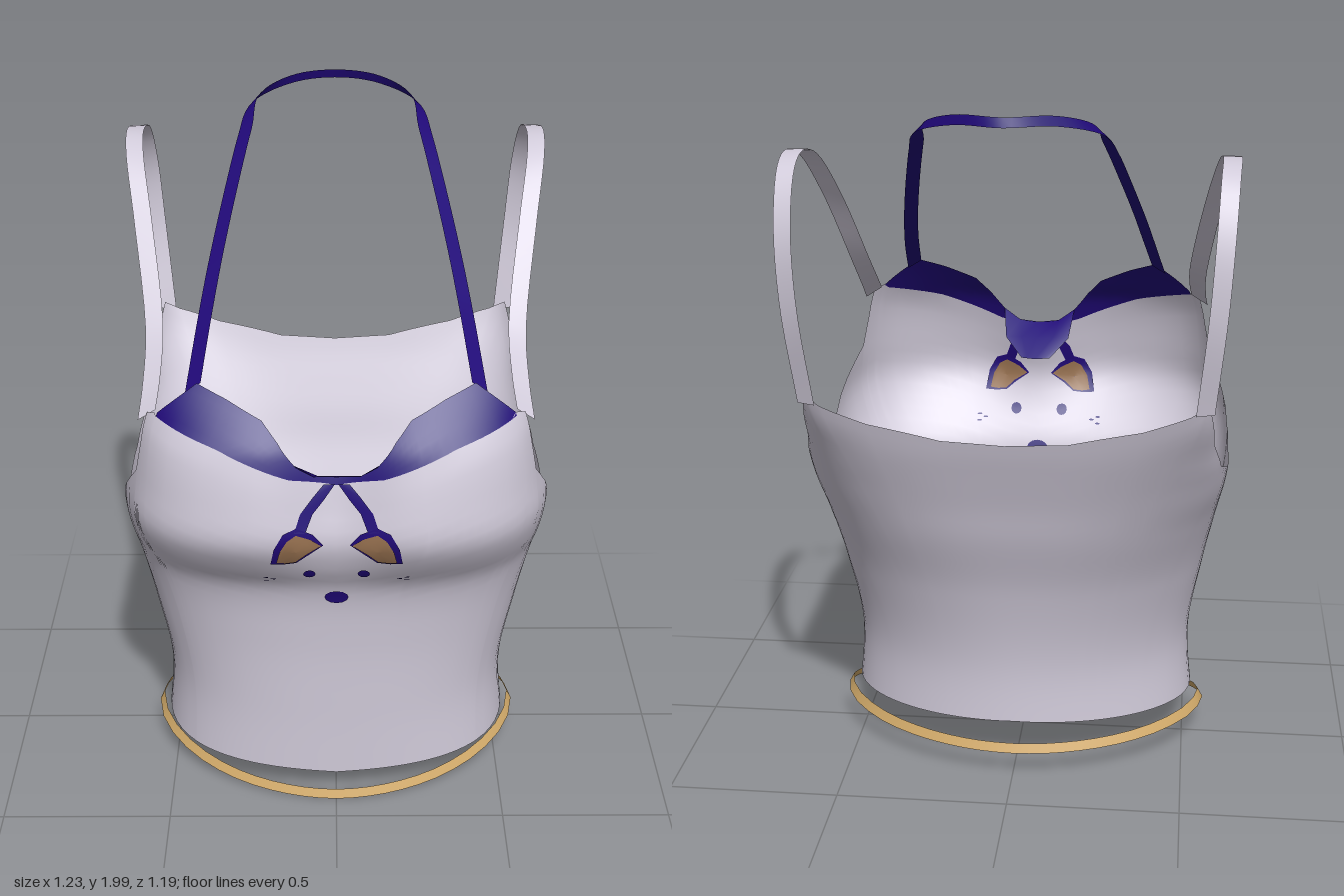
import * as THREE from 'three';

const { lerp, clamp, smoothstep } = THREE.MathUtils;
const mat = (name, color) => {
  const m = new THREE.MeshStandardMaterial({ color, side: THREE.DoubleSide });
  m.name = name;
  return m;
};
const V = (x, y, z) => new THREE.Vector3(x, y, z);

// Body sections: height, half width, front z, back z, front squareness, back squareness
const SECTIONS = [
  [0.08, 0.53, 0.417, -0.30, 2.5, 1.9],
  [0.35, 0.51, 0.425, -0.30, 2.5, 2.0],
  [0.60, 0.55, 0.44, -0.35, 2.6, 2.3],
  [0.80, 0.59, 0.475, -0.42, 2.8, 2.8],
  [0.90, 0.61, 0.545, -0.45, 2.9, 3.3],
  [1.00, 0.615, 0.60, -0.485, 3.0, 4.0],
  [1.10, 0.60, 0.592, -0.52, 3.1, 5.5],
  [1.25, 0.58, 0.55, -0.56, 3.4, 10],
  [1.32, 0.58, 0.50, -0.56, 3.5, 10],
  [1.43, 0.57, 0.415, -0.56, 3.6, 10],
];
const ZC = 0.05;

// Smooth interpolation of the sections
function section(y) {
  const S = SECTIONS, last = S.length - 1;
  let i = 0;
  while (i < last - 1 && y > S[i + 1][0]) i++;
  const h = S[i + 1][0] - S[i][0];
  const t = clamp((y - S[i][0]) / h, 0, 1), t2 = t * t, t3 = t2 * t;
  const slope = (k, c) => {
    const a = S[Math.max(k - 1, 0)], b = S[Math.min(k + 1, last)];
    return (b[c] - a[c]) / (b[0] - a[0]);
  };
  return [1, 2, 3, 4, 5].map((c) =>
    (2 * t3 - 3 * t2 + 1) * S[i][c] + (t3 - 2 * t2 + t) * h * slope(i, c)
    + (3 * t2 - 2 * t3) * S[i + 1][c] + (t3 - t2) * h * slope(i + 1, c));
}

// Hollow between the two cups
const hollow = (x, y) => 0.055 * Math.exp(-((x / 0.14) ** 2)) * smoothstep(y, 0.8, 1.1);

// Point on the body at angle a (0 = front, PI / 2 = +x) and height y
function bodyPoint(a, y) {
  const [w, zf, zb, nf, nb] = section(y);
  const s = Math.sin(a), c = Math.cos(a);
  const n = c > 0 ? nf : nb, d = c > 0 ? zf - ZC : ZC - zb;
  const r = (Math.abs(s / w) ** n + Math.abs(c / d) ** n) ** (-1 / n);
  return V(r * s, y, ZC + r * c - (c > 0 ? hollow(r * s, y) : 0));
}
function frontPoint(x, y, lift) {
  const [w, zf, , n] = section(y);
  return V(x, y, ZC + (zf - ZC) * (1 - Math.abs(x / w) ** n) ** (1 / n) - hollow(x, y) + lift);
}

// Linear lookup in [key, value] pairs
function lookup(table, k) {
  let i = 0;
  while (i < table.length - 2 && k > table[i + 1][0]) i++;
  const [k0, v0] = table[i], [k1, v1] = table[i + 1];
  return lerp(v0, v1, clamp((k - k0) / (k1 - k0), 0, 1));
}
// Neckline, armholes and back edge: [angle, height]
const EDGE = [[0, 1.185], [0.12, 1.19], [0.21, 1.22], [0.32, 1.285], [0.43, 1.335], [0.64, 1.38],
  [0.81, 1.41], [0.93, 1.325], [0.99, 1.315], [1.01, 1.22], [1.04, 1.13], [1.33, 0.96],
  [1.57, 0.928], [1.86, 0.94], [2.1, 1.0], [2.25, 1.1], [2.38, 1.25], [2.44, 1.22],
  [2.58, 1.175], [2.85, 1.13], [Math.PI, 1.12]];
const TRIM_LOW = [[0, 1.163], [0.24, 1.19], [0.6, 1.27], [0.93, 1.315]];
const HEM = [[0, 0.11], [1.57, 0.155], [Math.PI, 0.17]];

// Indexed surface through rows of points
function sheet(rows, closed = false) {
  const m = rows[0].length, idx = [];
  for (let i = 0; i < rows.length - 1; i++)
    for (let j = 0; j < (closed ? m : m - 1); j++) {
      const k = (j + 1) % m, a = i * m + j, b = i * m + k;
      idx.push(a, b, b + m, a, b + m, a + m);
    }
  const g = new THREE.BufferGeometry().setFromPoints(rows.flat());
  g.setIndex(idx);
  g.computeVertexNormals();
  return g;
}

// Flat ribbon along a smooth path; half(t) gives the half-width vector
function ribbon(points, half, n) {
  const path = new THREE.CatmullRomCurve3(points).getPoints(n);
  return sheet([-1, 1].map((k) => path.map((p, i) => p.clone().addScaledVector(half(i / n), k))));
}

// Concentric rings filling an outline, for printed patches
function rings(outline) {
  const [cx, cy] = [0, 1].map((k) => outline.reduce((sum, p) => sum + p[k], 0) / outline.length);
  return [0.01, 0.35, 0.7, 1].map((f) => outline.map(([x, y]) => [lerp(cx, x, f), lerp(cy, y, f)]));
}
const oval = (cx, cy, rx, ry) => rings(Array.from({ length: 12 }, (_, i) => {
  const a = i * Math.PI / 6;
  return [cx + rx * Math.cos(a), cy + ry * Math.sin(a)];
}));

export function createModel() {
  const model = new THREE.Group();
  const fabric = mat('pale lilac fabric', 0xd2ccdb);
  const navy = mat('indigo trim', 0x200878);
  const brown = mat('brown print', 0x96704f);
  const gold = mat('gold band', 0xd3ab6a);
  const add = (name, geometry, material) => {
    const mesh = new THREE.Mesh(geometry, material);
    mesh.name = name;
    model.add(mesh);
  };
  // Print showing on both the outside and the inside of the cloth
  const print = (name, rows, material, lift = 0.004, closed = true) => {
    for (const k of [1, -1])
      add(name + (k > 0 ? 'Outside' : 'Inside'),
        sheet(rows.map((r) => r.map(([x, y]) => frontPoint(x, y, k * lift))), closed), material);
  };

  // Angles denser where the edge turns
  const half = EDGE.slice(0, -1).flatMap(([a], i) =>
    [0, 0.25, 0.5, 0.75].map((k) => lerp(a, EDGE[i + 1][0], k)));
  const angles = [...half, Math.PI, ...half.slice(1).reverse().map((a) => 2 * Math.PI - a)];

  // Bodice
  const top = (a) => (a < 0.93 ? lookup(TRIM_LOW, a) : lookup(EDGE, a));
  const rows = Array.from({ length: 33 }, (_, i) => angles.map((a) => {
    const f = Math.min(a, 2 * Math.PI - a);
    return bodyPoint(a, lerp(lookup(HEM, f), top(f), i / 32));
  }));
  add('bodice', sheet(rows, true), fabric);

  // Neckline trim
  const trimHalf = half.filter((a) => a <= 0.935);
  const trimAngles = [...trimHalf.slice(1).reverse().map((a) => -a), ...trimHalf];
  const trimRows = Array.from({ length: 6 }, (_, i) => trimAngles.map((a) => {
    const f = Math.abs(a);
    return bodyPoint(a, lerp(lookup(TRIM_LOW, f), lookup(EDGE, f), i / 5));
  }));
  add('necklineTrim', sheet(trimRows), navy);

  // Flap folded back between the cups
  const front = [-0.22, -0.12, 0, 0.12, 0.22].map((a) => bodyPoint(a, lookup(EDGE, Math.abs(a))));
  const middle = [-0.1, -0.05, 0, 0.05, 0.1].map((x) => V(x, 1.15, 0.45));
  const back = [-0.045, -0.025, 0, 0.025, 0.045].map((x) => V(x, 1.1, 0.375 + Math.abs(x) * 0.3));
  add('centreFlap', sheet([front, middle, back]), navy);

  // Shoulder straps
  for (const s of [1, -1]) {
    const pts = [[0.515, 1.305, 0.385], [0.508, 1.36, 0.29], [0.507, 1.46, 0.15], [0.545, 1.7, -0.05],
      [0.575, 1.84, -0.2], [0.585, 1.875, -0.33], [0.58, 1.84, -0.47], [0.572, 1.7, -0.565],
      [0.56, 1.5, -0.583], [0.535, 1.225, -0.535]].map(([x, y, z]) => V(s * x, y, z));
    const side = (t) => V(s * 0.025, -0.016 * Math.max(0, 1 - 2 * t), 0.01 * smoothstep(t, 0.5, 0.8));
    add(s > 0 ? 'leftStrap' : 'rightStrap', ribbon(pts, side, 40), fabric);
  }

  // Halter neck strap
  const neck = [[0.385, 1.395, 0.40], [0.36, 1.52, 0.2], [0.335, 1.63, 0.05], [0.30, 1.76, -0.12],
    [0.262, 1.885, -0.28], [0.235, 1.95, -0.39], [0.13, 1.984, -0.48]];
  const loop = [...neck.map(([x, y, z]) => V(x, y, z)), V(0, 1.986, -0.535),
    ...neck.slice().reverse().map(([x, y, z]) => V(-x, y, z))];
  const twist = (t) => {
    const k = smoothstep(Math.abs(2 * t - 1), 0.1, 0.45);
    return V(Math.sign(t - 0.5) * -0.021 * k, -0.013, -0.004 * (1 - k));
  };
  add('halterStrap', ribbon(loop, twist, 80), navy);

  // Band hanging below the hem, flaring a little downwards
  const BAND = [[-0.33, 0.10], [-0.15, 0.117], [0.02, 0.127], [0.2, 0.085], [0.35, 0.04], [0.42, 0.022]];
  const bandRow = (k) => Array.from({ length: 48 }, (_, i) => {
    const a = i * Math.PI / 24, s = Math.sin(a), c = Math.cos(a);
    const r = (Math.abs(s / 0.555) ** 1.85 + Math.abs(c / 0.375) ** 1.85) ** (-1 / 1.85);
    const z = 0.04 + r * c, grow = 1 - k * 0.014;
    return V(r * s * grow, lookup(BAND, z) + k * 0.014, 0.04 + r * c * grow);
  });
  add('hemBand', sheet([bandRow(-1), bandRow(1)], true), gold);

  // Printed face: stems, ears, eyes, whiskers and nose
  for (const s of [1, -1]) {
    const flip = (pts) => pts.map(([x, y]) => [s * x, y]);
    const tag = s > 0 ? 'left' : 'right';
    print(tag + 'Stem', [[[0.004, 1.168], [0.035, 1.125], [0.065, 1.09], [0.085, 1.04]],
      [[0.035, 1.168], [0.065, 1.135], [0.098, 1.095], [0.115, 1.045]]].map(flip), navy, 0.004, false);
    print(tag + 'EarOutline', rings(flip([[0.036, 1.0], [0.065, 1.035], [0.11, 1.058], [0.145, 1.045],
      [0.17, 1.0], [0.18, 0.94], [0.145, 0.938], [0.11, 0.942], [0.08, 0.968]])), navy);
    print(tag + 'Ear', rings(flip([[0.042, 1.0], [0.07, 1.022], [0.11, 1.04], [0.135, 1.025],
      [0.155, 0.99], [0.164, 0.947], [0.14, 0.944], [0.112, 0.947], [0.084, 0.973]])), brown, 0.007);
    print(tag + 'Eye', oval(s * 0.075, 0.887, 0.017, 0.017), navy);
    for (const [x, y] of [[0.175, 0.86], [0.195, 0.868], [0.195, 0.85]])
      print(tag + 'Whisker', oval(s * x, y, 0.008, 0.0025), navy);
  }
  print('nose', oval(0, 0.772, 0.034, 0.024), navy);

  return model;
}
